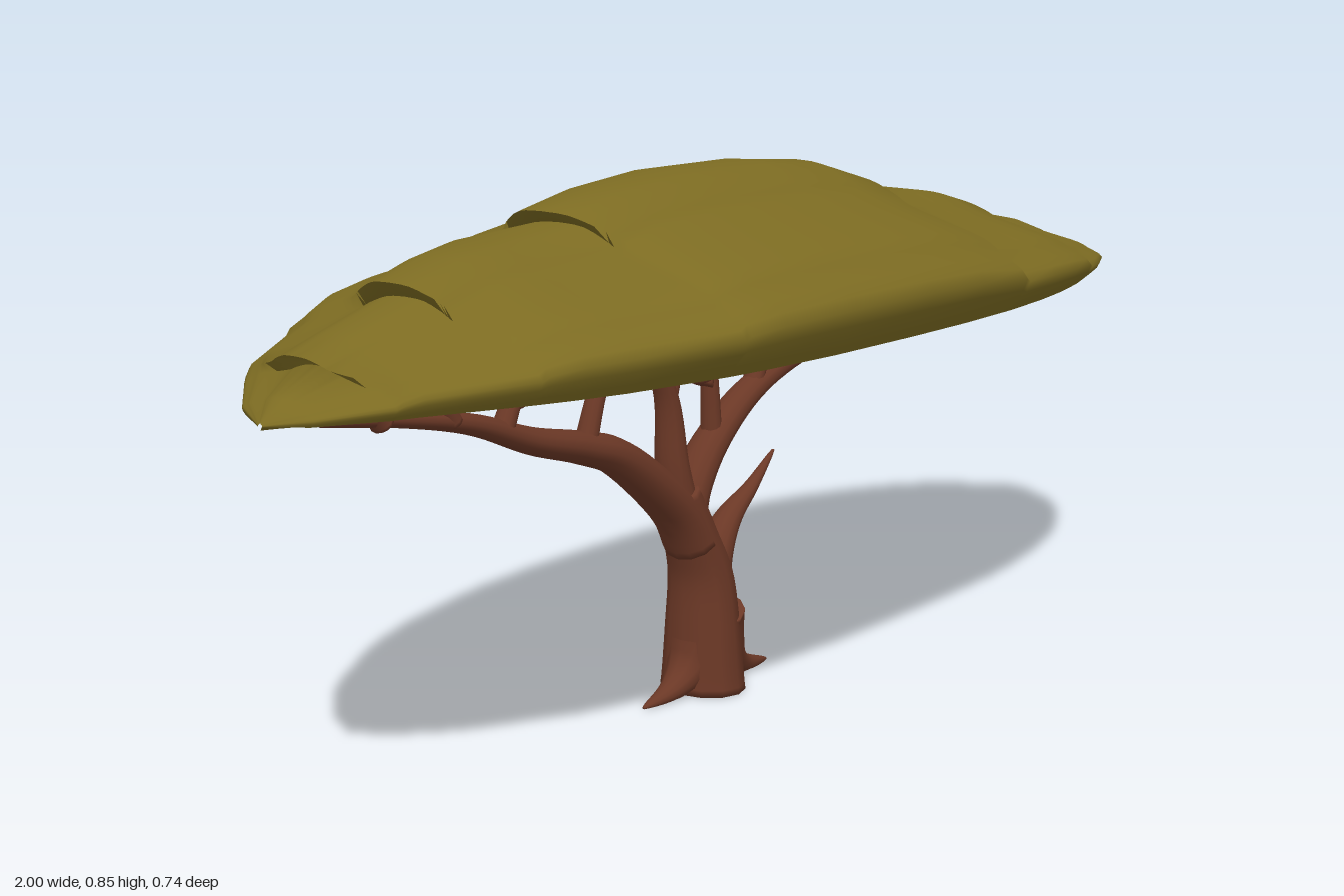
import * as THREE from 'three';
import { mergeVertices } from 'three/addons/utils/BufferGeometryUtils.js';

const spline = points => new THREE.SplineCurve(points.map(p => new THREE.Vector2(...p)));
const bump = (x, centre, size) => Math.exp(-(((x - centre) / size) ** 2));

// Smooth surface through equal-length rows of [x, y, z] points
function loft(rows) {
  const n = rows[0].length, index = [];
  for (let i = 0; i < rows.length - 1; i++) {
    for (let j = 0; j < n - 1; j++) {
      const a = i * n + j, b = a + n;
      index.push(a, a + 1, b, a + 1, b + 1, b);
    }
  }
  const geo = new THREE.BufferGeometry();
  geo.setAttribute('position', new THREE.Float32BufferAttribute(rows.flat(2), 3));
  geo.setIndex(index);
  const merged = mergeVertices(geo, 1e-5);
  merged.computeVertexNormals();
  return merged;
}

// Tapered limb along a curve in the x-y plane, closed at both ends
function limb(points, startRadius, endRadius) {
  const curve = spline(points), steps = points.length * 5, sides = 12, rows = [];
  for (let i = -1; i <= steps + 1; i++) {
    const u = THREE.MathUtils.clamp(i / steps, 0, 1);
    const c = curve.getPoint(u), t = curve.getTangent(u);
    const capped = i < 0 || i > steps;
    const r = capped ? 0 : THREE.MathUtils.lerp(startRadius, endRadius, u);
    const row = [];
    for (let j = 0; j <= sides; j++) {
      const a = (j % sides) / sides * Math.PI * 2, k = r * Math.cos(a);
      row.push([c.x - t.y * k, Math.max(0, c.y + t.x * k), 1.25 * r * Math.sin(a)]);
    }
    rows.push(row);
  }
  return loft(rows);
}

// Canopy crest from right to left end; where x steps back, a tier overhangs
const crest = [
  [-1, .592], [-.97, .62], [-.9, .652], [-.94, .67], [-.87, .69], [-.74, .722],
  [-.77, .745], [-.68, .77], [-.6, .784], [-.43, .792], [-.47, .812], [-.35, .835],
  [-.2, .85], [0, .85], [.15, .838], [.29, .8], [.25, .78], [.42, .769], [.52, .755],
  [.61, .732], [.58, .715], [.7, .699], [.8, .68], [.87, .66], [.84, .645], [.93, .62], [1, .588],
];
// Half outline across the crown: share of half width, share of height
const outline = spline([
  [0, 1], [.14, .98], [.28, .88], [.36, .8], [.54, .7], [.76, .58], [.86, .47], [1, .28], [.9, 0],
]);

function canopyShells() {
  const top = [], under = [];
  let x = -1.01;
  for (const [crestX, crestY] of crest) {
    x = Math.min(1, Math.max(x + .01, crestX));
    const width = Math.max(.004, .371 * Math.pow(1 - Math.abs(x) ** 2.6, .65));
    const rim = Math.min(.6, .587 + (1 - Math.abs(x)) * .08);
    const sag = .047 * bump(x, .72, .2) + .015 * bump(x, -.87, .12);
    const topRow = [], underRow = [];
    for (let j = -24; j <= 24; j++) {
      const p = outline.getPoint(Math.abs(j) / 24), z = Math.sign(j) * p.x * width;
      const lip = Math.max(0, 1 - (z / .12) ** 2);
      topRow.push([x + (crestX - x) * lip, rim + (crestY - rim) * p.y, z]);
    }
    for (let j = -10; j <= 10; j++) {
      const s = -j / 10;
      underRow.push([x, rim - sag * Math.cos(s * Math.PI / 2) ** 2, s * width * .9]);
    }
    top.push(topRow);
    under.push(underRow);
  }
  return [loft(top), loft(under)];
}

// Twigs: start x, start y, tip x; all reach up into the canopy
const twigs = [
  [-.38, .45, -.29], [-.345, .53, -.4], [-.56, .5, -.47], [-.525, .54, -.58],
  [-.66, .535, -.74], [-.79, .555, -.86], [-.19, .49, -.11], [-.075, .4, -.09],
  [-.1, .5, -.03], [-.1, .51, -.16], [.03, .475, .13], [.065, .54, .03],
  [.17, .517, .26], [.33, .53, .42],
];

export function createModel() {
  const bark = new THREE.MeshStandardMaterial({ color: 0x6b3826 });
  bark.name = 'bark';
  const leaves = new THREE.MeshStandardMaterial({ color: 0x7c6b22 });
  leaves.name = 'leaves';

  const model = new THREE.Group();
  model.name = 'flatToppedTree';
  const add = (name, geometry, material) => {
    const mesh = new THREE.Mesh(geometry, material);
    mesh.name = name;
    model.add(mesh);
  };

  // Crown
  const [top, underside] = canopyShells();
  add('canopyTop', top, leaves);
  add('canopyUnderside', underside, leaves);

  // Trunk and its two mirrored roots
  add('trunk', limb([[-.1, 0], [-.1, .1], [-.105, .19], [-.13, .26], [-.165, .34]], .06, .032), bark);
  for (const side of [-1, 1]) {
    const root = [[.01, .12], [.04, .05], [.09, .014], [.16, .002]].map(([x, y]) => [side * x - .09, y]);
    add(side < 0 ? 'rightRoot' : 'leftRoot', limb(root, .05, .002), bark);
  }

  // Boughs
  add('brokenBranch', limb([[-.095, .15], [-.07, .22], [-.03, .27], [.03, .31], [.09, .36]], .036, .002), bark);
  add('rightBough', limb([[-.13, .25], [-.18, .32], [-.3, .415], [-.39, .45], [-.5, .48],
    [-.62, .525], [-.75, .553], [-.9, .575]], .04, .006), bark);
  add('leftBough', limb([[-.15, .28], [-.13, .34], [-.07, .41], [.03, .475], [.17, .517],
    [.33, .532], [.6, .56]], .034, .008), bark);
  add('middleBough', limb([[-.155, .29], [-.175, .38], [-.19, .5], [-.25, .61]], .032, .009), bark);

  // Twigs, rising steeply and then leaning towards their tips
  twigs.forEach(([x, y, tip], i) => {
    const path = [[x, y], [x + (tip - x) * .4, y + (.605 - y) * .6], [tip, .605]];
    add('twig' + (i + 1), limb(path, .016, .008), bark);
  });
  return model;
}
